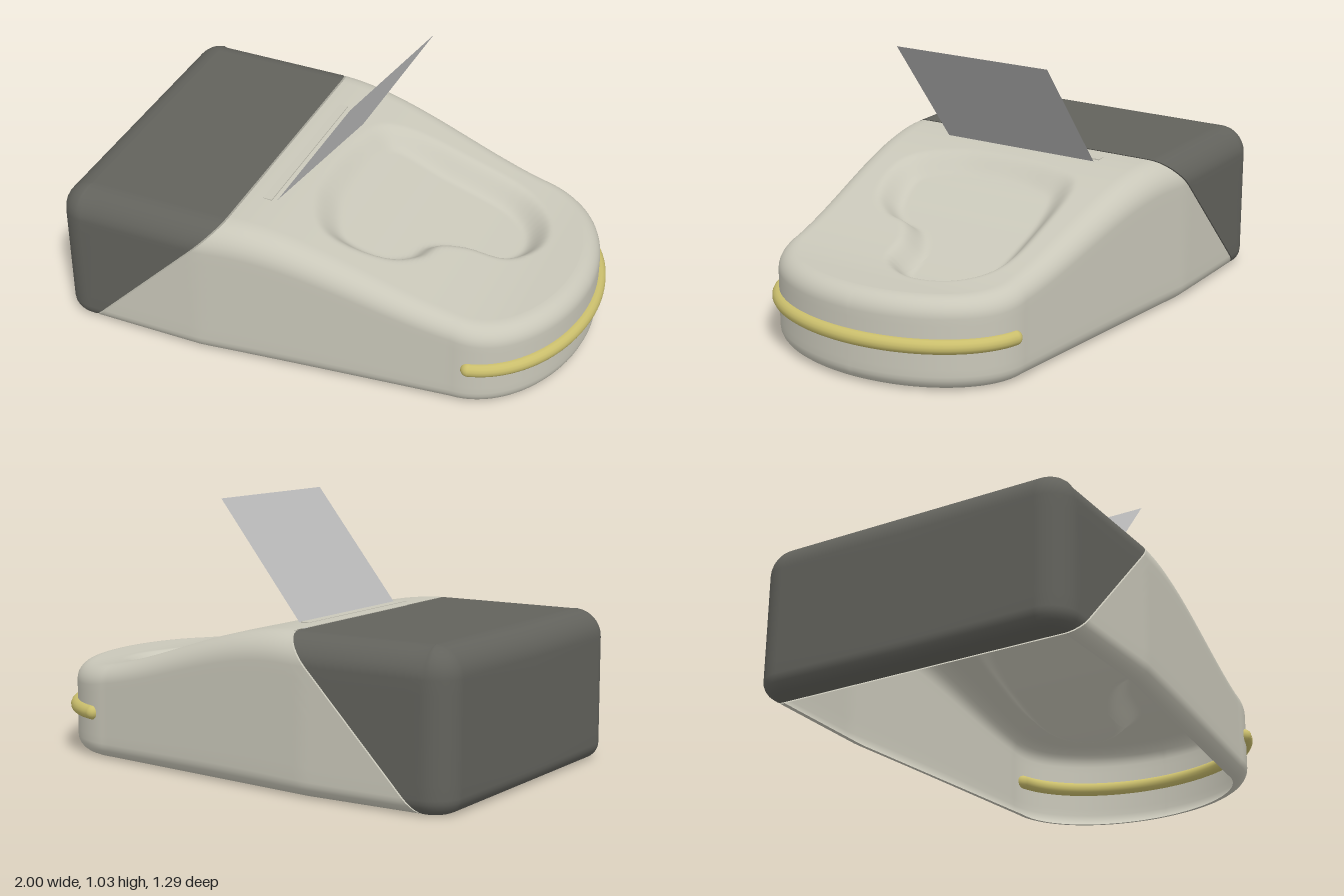
import * as THREE from 'three';

const mat = (name, color, side = THREE.DoubleSide) => {
  const m = new THREE.MeshStandardMaterial({ color, side });
  m.name = name;
  return m;
};
const { lerp, smoothstep, clamp } = THREE.MathUtils;

const TOP = 0.59, CUT_TOP = -0.31, CUT_RUN = 0.57, GAP = 0.004;
const NOSE_X = 0.6, NOSE_A = 0.37, NOSE_B = 0.53;
const BACK_X = -0.89, BACK_R = 0.11;

const heightAt = x => TOP - 0.24 * smoothstep(x, -0.3, 0.8);
const widthAt = x => lerp(0.645, NOSE_B, clamp((x + 0.4) / 1.0, 0, 1));
const cutX = y => CUT_TOP - CUT_RUN * (1 - y / TOP);

// Rim of the shallow tray in the sloping top, as x, z
const trayRim = new THREE.CatmullRomCurve3([
  [0, -0.32], [0.3, -0.36], [0.55, -0.34], [0.67, -0.24], [0.7, -0.1], [0.63, 0.02], [0.48, 0.06],
  [0.38, 0.13], [0.34, 0.24], [0.25, 0.33], [0.05, 0.36], [-0.05, 0.2], [-0.07, 0], [-0.05, -0.2],
].map(([x, z]) => new THREE.Vector3(x, 0, z)), true).getPoints(70);

// Tray depth from the signed distance to the rim
function trayDepth(x, z) {
  if (x < -0.2 || x > 0.85) return 0;
  let d2 = Infinity, inside = false;
  for (let i = 0; i < trayRim.length - 1; i++) {
    const p = trayRim[i], q = trayRim[i + 1];
    const ex = q.x - p.x, ez = q.z - p.z;
    const t = clamp(((x - p.x) * ex + (z - p.z) * ez) / (ex * ex + ez * ez), 0, 1);
    d2 = Math.min(d2, (x - p.x - t * ex) ** 2 + (z - p.z - t * ez) ** 2);
    if ((p.z > z) !== (q.z > z) && x < p.x + ex * (z - p.z) / ez) inside = !inside;
  }
  const d = Math.sqrt(d2) * (inside ? 1 : -1);
  return 0.085 * smoothstep(d, -0.05, 0.06) * lerp(0.6, 1, smoothstep(x, -0.05, 0.25));
}

// Side profile from the bottom rim to the top edge, as [inset, y]
function profile(h, r) {
  const pts = [];
  for (let i = 0; i <= 6; i++) {
    const a = i / 6 * Math.PI / 2;
    pts.push([0.06 * (1 - Math.sin(a)), 0.06 * (1 - Math.cos(a))]);
  }
  for (let i = 1; i < 8; i++) pts.push([0, lerp(0.06, h - r, i / 8)]);
  for (let i = 0; i <= 8; i++) {
    const a = i / 8 * Math.PI / 2;
    pts.push([r * (1 - Math.cos(a)), h - r * (1 - Math.sin(a))]);
  }
  return pts;
}

// Turns a grid of points into a smooth surface
function gridGeometry(grid, flip) {
  const n = grid[0].length, index = [];
  for (let i = 0; i < grid.length - 1; i++) {
    for (let j = 0; j < n - 1; j++) {
      const a = i * n + j, b = a + n, c = a + 1, d = b + 1;
      index.push(...(flip ? [a, c, b, b, c, d] : [a, b, c, b, d, c]));
    }
  }
  const g = new THREE.BufferGeometry();
  g.setAttribute('position', new THREE.Float32BufferAttribute(grid.flat(2), 3));
  g.setIndex(index);
  g.computeVertexNormals();
  return g;
}

// One column of the front shell; s in 0..1 is the straight side, 1..2 the nose
function frontColumn(s, sign) {
  const th = Math.max(0, s - 1) * Math.PI / 2;
  const X = s <= 1 ? lerp(CUT_TOP, NOSE_X, s) : NOSE_X + NOSE_A * Math.sin(th);
  const nrm = new THREE.Vector2(Math.sin(th) / NOSE_A, Math.cos(th) / NOSE_B).normalize();
  const h = heightAt(X), r = lerp(0.11, 0.07, Math.min(s, 1));
  const col = profile(h, r).map(([inset, y]) => {
    if (s > 1) {
      const x = X - nrm.x * inset;
      return [x, y * heightAt(x) / h, sign * Math.max(0, NOSE_B * Math.cos(th) - nrm.y * inset)];
    }
    const x = X - CUT_RUN * (1 - y / h) * (1 - s) + GAP * (1 - s);
    return [x, y * heightAt(x) / h, sign * (widthAt(x) - inset)];
  });
  const [x, y, z] = col[col.length - 1];
  for (let j = 1; j <= 45; j++) {
    const zz = z * (1 - j / 45);
    col.push([x, y - trayDepth(x, zz), zz]);
  }
  return col;
}

// One column of the rear cover; s: 0..1 side, 1..2 corner, 2..3 back wall
function rearColumn(s, sign) {
  const th = clamp(s - 1, 0, 1) * Math.PI / 2, W = 0.645;
  const col = profile(TOP, 0.11).map(([inset, y]) => {
    if (s <= 1) return [lerp(cutX(y) - GAP, BACK_X, s), y, sign * (widthAt(cutX(y)) - inset)];
    const rad = BACK_R - inset;
    const z = (W - BACK_R + rad * Math.cos(th)) * (s > 2 ? 3 - s : 1);
    return [BACK_X - rad * Math.sin(th), y, sign * z];
  });
  const first = col[0], last = col[col.length - 1];
  return [[first[0], first[1], 0], ...col, [last[0], last[1], 0]];
}

// Flat slanted wall spanning the two sides of a cut edge
function capGeometry(edge, flip) {
  return gridGeometry([edge, edge.map(([x, y, z]) => [x, y, -z])], flip);
}

export function createModel() {
  const group = new THREE.Group();
  const shellMat = mat('warm light grey', 0xc9c7b9);
  const coverMat = mat('dark grey', 0x62625c);
  const bandMat = mat('muted yellow', 0xcabe6c, THREE.FrontSide);
  const sheetMat = mat('sheet grey', 0xb8b8b8);
  const add = (name, geo, m) => {
    const mesh = new THREE.Mesh(geo, m);
    mesh.name = name;
    group.add(mesh);
    return mesh;
  };

  // Front shell and rear cover, each in two mirrored halves
  const steps = (n, from, to) => Array.from({ length: n + 1 }, (_, i) => lerp(from, to, i / n));
  const frontS = [...steps(64, 0, 1), ...steps(40, 1, 2).slice(1)];
  const rearS = [...steps(8, 0, 1), ...steps(10, 1, 2).slice(1), 3];
  for (const sign of [1, -1]) {
    const side = sign > 0 ? 'Left' : 'Right';
    add('frontShell' + side, gridGeometry(frontS.map(s => frontColumn(s, sign)), sign < 0), shellMat);
    add('rearCover' + side, gridGeometry(rearS.map(s => rearColumn(s, sign)), sign > 0), coverMat);
  }

  // Slanted walls where shell and cover meet
  add('shellPartition', capGeometry(frontColumn(0, 1).slice(0, 22), false), shellMat);
  add('coverPartition', capGeometry(rearColumn(0, 1).slice(1, -1), true), coverMat);

  // Slot lip and the leaning sheet that passes through it
  const lip = add('sheetSlot', new THREE.BoxGeometry(0.036, 0.02, 0.71), shellMat);
  lip.position.set(-0.227, 0.58, 0);
  const low = new THREE.Vector2(-0.315, 0.43), high = new THREE.Vector2(0.165, 1.03);
  add('sheet', gridGeometry([0.34, -0.34].map(z => [[low.x, low.y, z], [high.x, high.y, z]]), false), sheetMat);

  // Round bumper band about the nose
  const path = steps(24, -1, 1).map(t => {
    const a = t * 1.385;
    return new THREE.Vector3(NOSE_X + 0.372 * Math.cos(a), 0.178, 0.528 * Math.sin(a));
  });
  add('bumperBand', new THREE.TubeGeometry(new THREE.CatmullRomCurve3(path), 72, 0.028, 14), bandMat);
  for (const end of [path[0], path[path.length - 1]]) {
    add('bumperEnd', new THREE.SphereGeometry(0.028, 14, 10), bandMat).position.copy(end);
  }
  return group;
}
